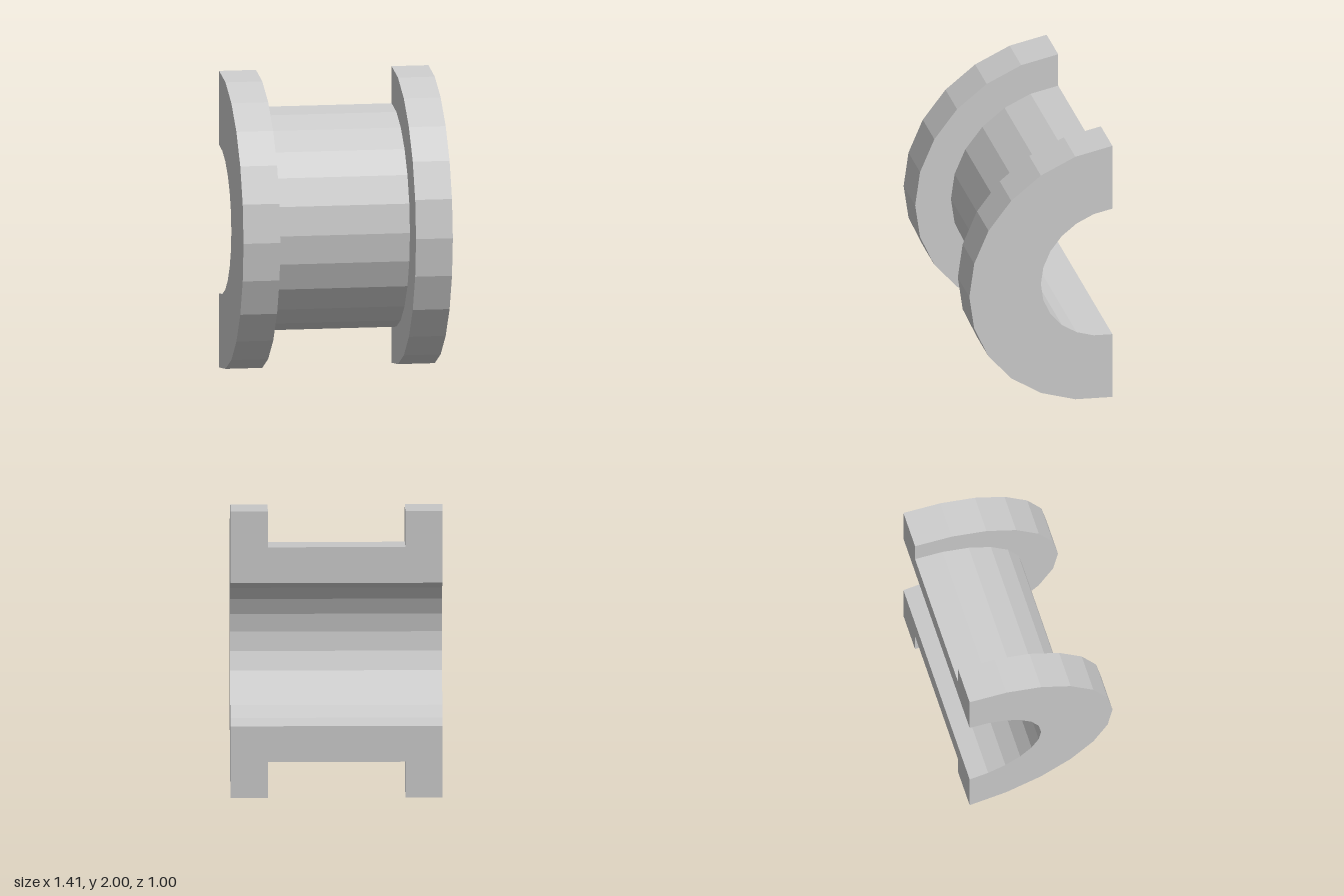
import * as THREE from 'three';

const SEGMENTS = 12;
const BORE = 0.5, HUB = 0.75, FLANGE = 1.0; // radii
const END = 0.705, SHOULDER = 0.457;        // half lengths along the axis

export function createModel() {
  const group = new THREE.Group();
  group.name = 'halfBushing';
  const material = new THREE.MeshStandardMaterial({ color: 0xcccccc, flatShading: true });

  // Channel-shaped cross-section (radius, axis), counter-clockwise
  const profile = [
    [BORE, -END], [FLANGE, -END], [FLANGE, -SHOULDER], [HUB, -SHOULDER],
    [HUB, SHOULDER], [FLANGE, SHOULDER], [FLANGE, END], [BORE, END],
  ].map(([r, a]) => new THREE.Vector2(r, a));

  // Lay the axis along x and set the split plane at the back
  const add = (name, geometry) => {
    geometry.rotateZ(Math.PI / 2).translate(0, 1, -0.5);
    const flat = geometry.toNonIndexed();
    flat.computeVertexNormals();
    const mesh = new THREE.Mesh(flat, material);
    mesh.name = name;
    group.add(mesh);
  };

  // Half-turn sleeve with bore, hub and both flanges
  add('flangedSleeve', new THREE.LatheGeometry(
    [...profile, profile[0].clone()], SEGMENTS, -Math.PI / 2, Math.PI));

  // Flat split faces, turned to look backwards
  add('upperSplitFace', new THREE.ShapeGeometry(new THREE.Shape(profile)).rotateX(Math.PI));
  add('lowerSplitFace', new THREE.ShapeGeometry(new THREE.Shape(profile)).rotateY(Math.PI));

  return group;
}
